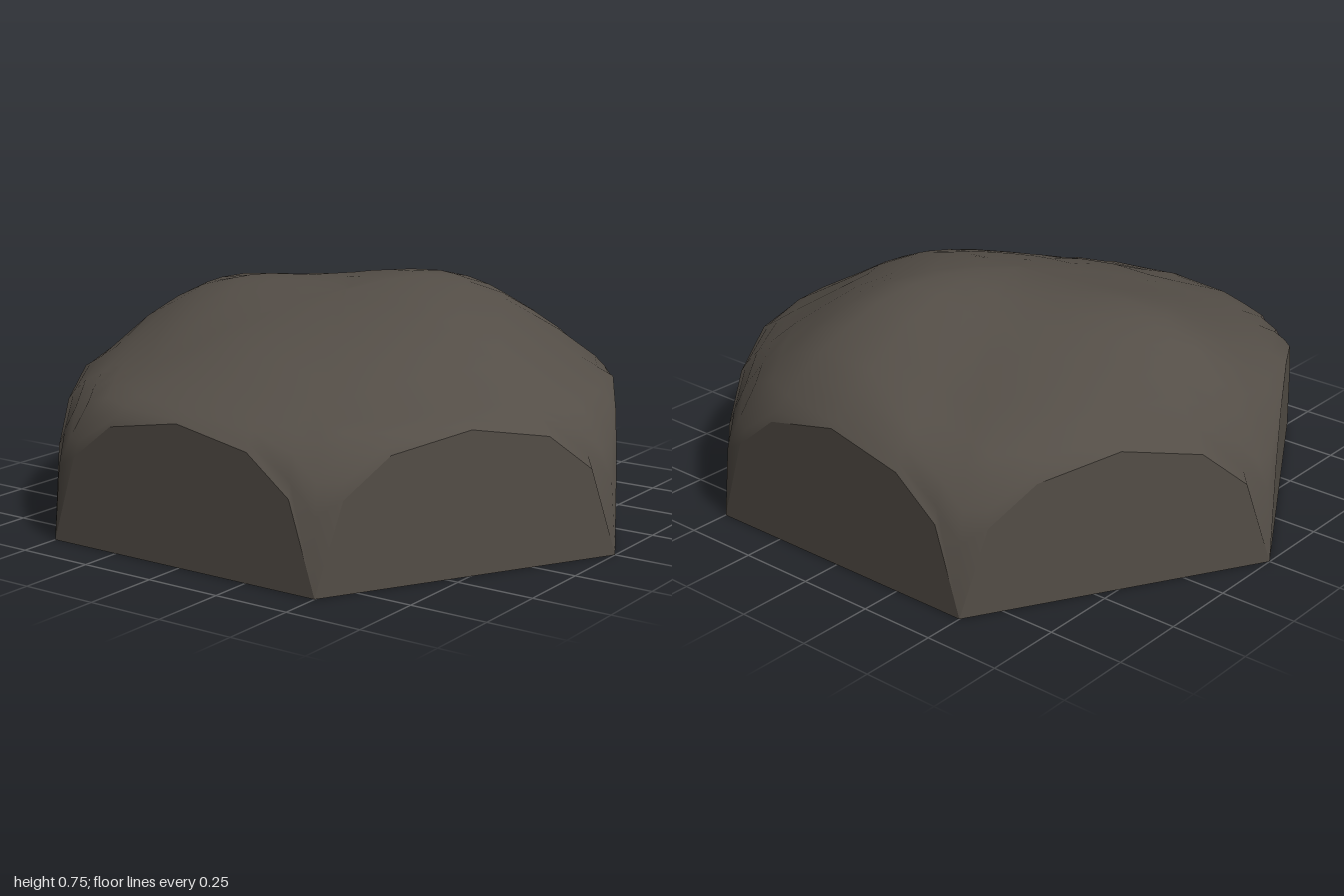
import * as THREE from 'three';

const stone = new THREE.MeshStandardMaterial({ color: 0x544e47 });
stone.name = 'dark stone';

// Height of the mound by distance from the middle
const profile = [[0, 0.675], [0.2, 0.663], [0.5, 0.59], [0.65, 0.53], [0.78, 0.48],
  [0.87, 0.442], [0.92, 0.375], [0.96, 0.275], [0.98, 0.235], [1, 0]];

// Uneven swells and hollows: x, z, height, spread
const swells = [[0.12, -0.47, 0.13, 0.29], [-0.59, -0.06, 0.13, 0.26],
  [0.45, 0, 0.04, 0.2], [-0.2, -0.62, -0.045, 0.13], [0.3, 0.6, -0.02, 0.22]];

function heightAt(x, z) {
  const r = Math.min(1, Math.hypot(x, z));
  let k = 1;
  while (k < profile.length - 1 && profile[k][0] < r) k++;
  const [r0, h0] = profile[k - 1], [r1, h1] = profile[k];
  let h = h0 + (h1 - h0) * (r - r0) / (r1 - r0);
  const fade = THREE.MathUtils.clamp((0.93 - r) / 0.18, 0, 1);
  for (const [cx, cz, amount, spread] of swells) {
    const d2 = (x - cx) ** 2 + (z - cz) ** 2;
    h += fade * amount * Math.exp(-d2 / (2 * spread * spread));
  }
  return h;
}

// Skin between rows of points, listed from the lower row to the upper one
function skin(name, rows, closed) {
  const n = rows[0].length, index = [];
  for (let j = 0; j < rows.length - 1; j++) {
    for (let i = 0; i < (closed ? n : n - 1); i++) {
      const p = j * n + i, q = j * n + (i + 1) % n;
      index.push(p, p + n, q + n, p, q + n, q);
    }
  }
  const geometry = new THREE.BufferGeometry();
  geometry.setAttribute('position', new THREE.Float32BufferAttribute(rows.flat(2), 3));
  geometry.setIndex(index);
  geometry.computeVertexNormals();
  const mesh = new THREE.Mesh(geometry, stone);
  mesh.name = name;
  return mesh;
}

export function createModel() {
  const group = new THREE.Group();
  group.name = 'rockMound';

  // Hexagonal outline, with each edge divided closer near its corners
  const steps = [0, 0.09, 0.24, 0.5, 0.76, 0.91, 1];
  const corner = (k) => [Math.cos(k * Math.PI / 3), Math.sin(k * Math.PI / 3)];
  const edges = [];
  for (let k = 0; k < 6; k++) {
    const [ax, az] = corner(k), [bx, bz] = corner(k + 1);
    edges.push(steps.map((s) => [ax + (bx - ax) * s, az + (bz - az) * s]));
  }
  const outline = edges.flatMap((edge) => edge.slice(0, -1));

  // Rounded top
  const rings = [1, 0.98, 0.94, 0.88, 0.8, 0.7, 0.58, 0.44, 0.3, 0.15, 0];
  group.add(skin('roundedTop', rings.map((t) =>
    outline.map(([x, z]) => [x * t, heightAt(x * t, z * t), z * t])), true));

  // Flat arched sides
  edges.forEach((edge, k) => group.add(skin('archedSide' + (k + 1), [
    edge.map(([x, z]) => [x, 0, z]),
    edge.map(([x, z]) => [x, heightAt(x, z), z]),
  ], false)));

  // Flat underside
  group.add(skin('underside', [
    outline.map(() => [0, 0, 0]),
    outline.map(([x, z]) => [x, 0, z]),
  ], true));

  return group;
}
